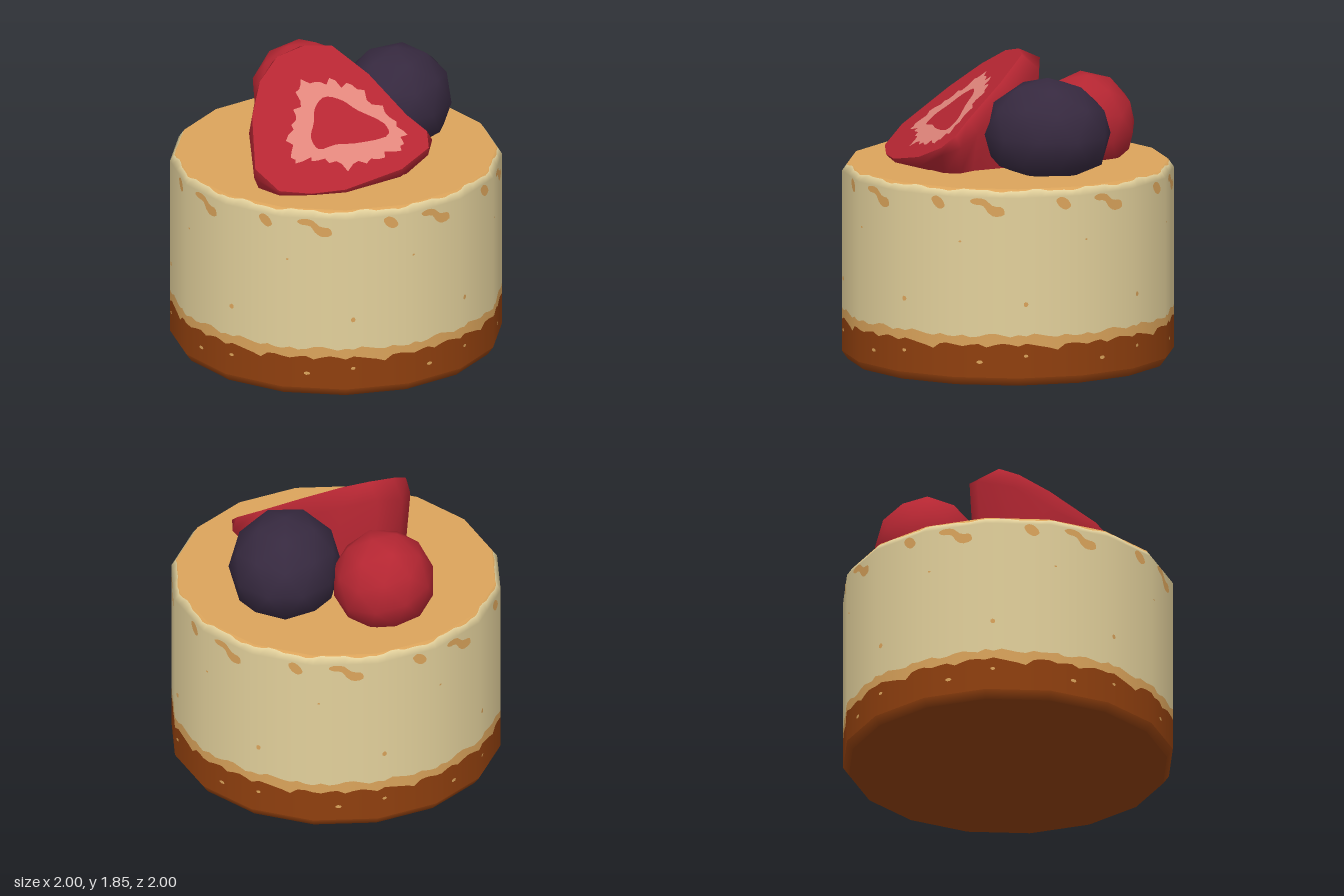
import * as THREE from 'three';
import { mergeVertices } from 'three/addons/utils/BufferGeometryUtils.js';

const SIDES = 16, STEPS = 8, COLS = SIDES * STEPS;
const FACET = (Math.PI * 2) / SIDES;

const material = (name, color, side = THREE.FrontSide) => {
  const m = new THREE.MeshStandardMaterial({ color, side });
  m.name = name;
  return m;
};

const named = (name, geometry, mat) => {
  const mesh = new THREE.Mesh(geometry, mat);
  mesh.name = name;
  return mesh;
};

const indexed = (positions, index) => {
  const g = new THREE.BufferGeometry();
  g.setAttribute('position', new THREE.Float32BufferAttribute(positions, 3));
  g.setIndex(index);
  g.computeVertexNormals();
  return g;
};

// Strip around the sixteen-sided cake between two edges; each edge gives [radius, height] per column
function band(low, high, tiltLow, tiltHigh) {
  const pos = [], nor = [], index = [];
  for (let i = 0; i <= COLS; i++) {
    const a = Math.floor(i / STEPS) * FACET, f = (i % STEPS) / STEPS;
    const x = Math.sin(a) * (1 - f) + Math.sin(a + FACET) * f;
    const z = Math.cos(a) * (1 - f) + Math.cos(a + FACET) * f;
    const t = (i / STEPS) * FACET;
    for (const [edge, tilt] of [[low, tiltLow], [high, tiltHigh]]) {
      const [r, y] = edge(i);
      pos.push(x * r, y, z * r);
      nor.push(Math.sin(t) * Math.cos(tilt), Math.sin(tilt), Math.cos(t) * Math.cos(tilt));
    }
    if (i < COLS) {
      const k = i * 2;
      index.push(k, k + 2, k + 3, k, k + 3, k + 1);
    }
  }
  const g = indexed(pos, index);
  g.setAttribute('normal', new THREE.Float32BufferAttribute(nor, 3));
  return g;
}

// Rounded closed outline through a few points
const outline = (points, n) => new THREE.CatmullRomCurve3(
  points.map(([x, y]) => new THREE.Vector3(x, y, 0)), true).getPoints(n).slice(0, n)
  .map((p) => new THREE.Vector2(p.x, p.y));

// Plane of the strawberry's cut face
const cutY = (x, z) => 1.24 - (0.30 * (x + 0.08) + 0.55 * (z - 0.8)) / 0.78;

function makeCake(m) {
  const cake = new THREE.Group();
  cake.name = 'cake';
  // Wavy edges, repeating every two facets
  const crustTop = [.25, .24, .25, .255, .235, .25, .26, .255, .245, .26, .25, .24, .23, .215, .25, .255];
  const toastTop = [.30, .31, .295, .30, .315, .32, .31, .30, .315, .305, .32, .31, .30, .295, .31, .30];
  const flat = (r, y) => () => [r, y];
  const wavy = (table) => (i) => [1, table[i % 16]];
  const rim = (i) => {
    const t = 0.78 + 0.12 * Math.sin(i * Math.PI / 4) + 0.08 * Math.sin(i * Math.PI * 5 / 8);
    return [1 - 0.035 * t, 1.15 + 0.05 * t];
  };
  cake.add(
    named('crustBevel', band(flat(0.965, 0), flat(1, 0.05), -0.9, -0.2), m.crust),
    named('crustWall', band(flat(1, 0.05), wavy(crustTop), 0, 0), m.crust),
    named('toastedBand', band(wavy(crustTop), wavy(toastTop), 0, 0), m.toast),
    named('creamWall', band(wavy(toastTop), flat(1, 1.15), 0, 0), m.cream),
    named('creamRim', band(flat(1, 1.15), rim, 0, 0.9), m.cream),
    named('toastedRim', band(rim, flat(0.965, 1.2), 0.9, 1.4), m.toast));
  const top = named('toastedTop', new THREE.CircleGeometry(0.965, SIDES).rotateX(-Math.PI / 2), m.toast);
  top.position.y = 1.2;
  const bottom = named('crustBottom', new THREE.CircleGeometry(0.965, SIDES).rotateX(Math.PI / 2), m.crust);
  cake.add(top, bottom);

  // Toasted flecks and crumbs, lying flat on alternating facets
  const plate = (points) => new THREE.ShapeGeometry(new THREE.Shape(outline(points, 24)));
  const dot = (x, y, w, h) => new THREE.CircleGeometry(1, 7).scale(w, h, 1).translate(x, y, 0);
  const flecks = [
    [
      plate([[-.10, 1.13], [-.08, 1.11], [-.02, 1.10], [.01, 1.06], [.05, 1.035], [.11, 1.05],
        [.10, 1.09], [.04, 1.10], [-.01, 1.14], [-.07, 1.145]]),
      dot(-0.04, 0.145, 0.02, 0.011),
      dot(-0.16, 0.88, 0.009, 0.006),
    ],
    [
      plate([[.04, 1.13], [.06, 1.09], [.10, 1.07], [.13, 1.09], [.11, 1.13], [.07, 1.148]]),
      dot(-0.15, 0.5, 0.015, 0.016),
      dot(-0.15, 0.185, 0.015, 0.01),
    ],
  ];
  for (let k = 0; k < SIDES; k++) {
    const group = new THREE.Group();
    group.name = 'facetFlecks';
    group.rotation.y = (k + 0.5) * FACET;
    for (const g of flecks[k % 2]) {
      const fleck = named('fleck', g, m.toast);
      fleck.position.z = Math.cos(FACET / 2) + 0.004;
      group.add(fleck);
    }
    cake.add(group);
  }
  return cake;
}

function makeStrawberry(m) {
  const berry = new THREE.Group();
  berry.name = 'halfStrawberry';
  // Outline of the cut face as [x, z], and the widest loop of the skin behind it
  const face = [[-.33, .13], [-.2, 0], [-.05, -.07], [.2, -.02], [.48, .09], [.62, .12], [.66, .2],
    [.55, .38], [.28, .63], [.1, .74], [-.08, .81], [-.25, .76], [-.36, .5], [-.38, .3]]
    .map(([x, z]) => [x, cutY(x, z), z]);
  const skin = [[-.40, 1.72, .02], [-.27, 1.79, -.11], [-.05, 1.76, -.18], [.22, 1.62, -.11],
    [.5, 1.45, .02], [.64, 1.38, .08], [.655, 1.33, .2], [.54, 1.24, .37], [.28, 1.2, .62],
    [.1, 1.2, .73], [-.08, 1.2, .8], [-.26, 1.27, .75], [-.38, 1.45, .5], [-.41, 1.62, .28]];
  const foot = skin.map(([x, , z]) => {
    const k = x > 0.3 ? 0.75 : 0.94;
    return [0.1 + (x - 0.1) * k, 1.19, 0.3 + (z - 0.3) * k];
  });
  const n = face.length, cap = [], sides = [];
  for (let i = 0; i < n; i++) {
    const j = (i + 1) % n;
    cap.push(n, j, i);
    for (const o of [0, n]) sides.push(o + i, o + j, o + n + j, o + i, o + n + j, o + n + i);
  }
  berry.add(
    named('cutFace', indexed([...face, [0.12, cutY(0.12, 0.3), 0.3]].flat(), cap), m.red),
    named('strawberrySkin', indexed([...face, ...skin, ...foot].flat(), sides), m.red));

  // Pale jagged ring laid on the cut face
  const outer = outline([[-.15, -.22], [-.02, -.14], [.13, -.09], [.32, -.13], [.49, -.19], [.51, -.27],
    [.4, -.39], [.25, -.51], [.08, -.55], [-.05, -.62], [-.12, -.5], [-.12, -.36]], 60);
  const centre = new THREE.Vector2(0.16, -0.32);
  outer.forEach((p, i) => {
    const push = 0.018 * Math.sin(i * 2.2) + 0.012 * Math.sin(i * 1.3);
    p.addScaledVector(p.clone().sub(centre).normalize(), push);
  });
  const ring = new THREE.Shape(outer);
  ring.holes.push(new THREE.Path(outline([[-.03, -.3], [0, -.22], [.1, -.19], [.2, -.2], [.38, -.2],
    [.42, -.24], [.26, -.37], [.15, -.43], [.06, -.5], [0, -.46], [-.01, -.38]], 36)));
  const g = new THREE.ShapeGeometry(ring);
  const p = g.attributes.position;
  for (let i = 0; i < p.count; i++) {
    const x = p.getX(i), z = -p.getY(i);
    p.setXYZ(i, x, cutY(x, z) + 0.008, z);
  }
  g.computeVertexNormals();
  berry.add(named('paleRing', g, m.pink));
  return berry;
}

// Low-poly round berry, flattened where it sits on the cake
function makeBerry(name, mat, centre, radii, turn) {
  const raw = new THREE.IcosahedronGeometry(1, 1);
  raw.deleteAttribute('uv');
  raw.deleteAttribute('normal');
  const g = mergeVertices(raw, 1e-3);
  g.rotateZ(turn).rotateY(turn * 2).scale(...radii).translate(...centre);
  const p = g.attributes.position;
  for (let i = 0; i < p.count; i++) p.setY(i, Math.max(p.getY(i), 1.19));
  g.computeVertexNormals();
  return named(name, g, mat);
}

export function createModel() {
  const m = {
    crust: material('brown crust', 0x8f3f0e),
    cream: material('cream filling', 0xe2d09b),
    toast: material('toasted orange', 0xdba45b),
    red: material('berry red', 0xb52632),
    pink: material('pale pink', 0xe0857b, THREE.DoubleSide),
    dark: material('dark purple', 0x36293f),
  };
  const model = new THREE.Group();
  model.name = 'berryCheesecake';
  model.add(
    makeCake(m),
    makeStrawberry(m),
    makeBerry('redBerry', m.red, [-0.34, 1.39, -0.37], [0.31, 0.32, 0.31], 0.3),
    makeBerry('darkBerry', m.dark, [0.26, 1.43, -0.34], [0.34, 0.34, 0.39], 0.55));
  return model;
}
